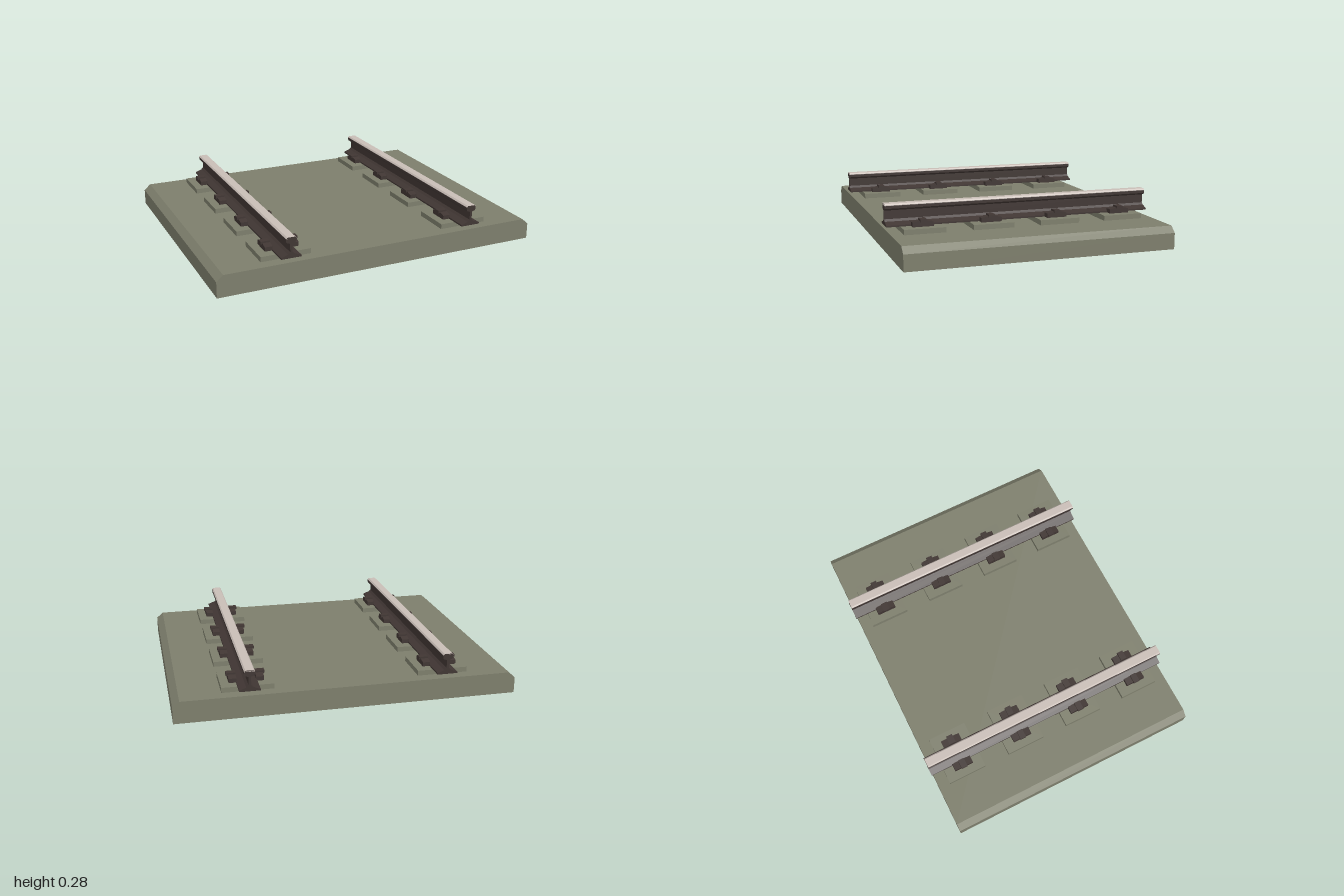
import * as THREE from 'three';

const concrete = new THREE.MeshStandardMaterial({ color: 0x7d7e6c, flatShading: true });
const steel = new THREE.MeshStandardMaterial({ color: 0x403633, flatShading: true });
const polished = new THREE.MeshStandardMaterial({ color: 0xc8bdb6, flatShading: true });

const RAIL_X = 0.573;
const RAIL_LENGTH = 1.6;
const FASTENING_Z = [-0.6, -0.2, 0.2, 0.6];

// Extrudes a mirrored half outline (x >= 0, bottom to top) along z, centred
function mirroredExtrusion(half, depth) {
  const outline = [...half, ...half.slice().reverse().map(([x, y]) => [-x, y])];
  const shape = new THREE.Shape(outline.map(([x, y]) => new THREE.Vector2(x, y)));
  const geometry = new THREE.ExtrudeGeometry(shape, { depth, bevelEnabled: false });
  return geometry.translate(0, 0, -depth / 2);
}

function add(parent, name, geometry, material, x = 0, y = 0, z = 0) {
  const mesh = new THREE.Mesh(geometry, material);
  mesh.name = name;
  mesh.position.set(x, y, z);
  parent.add(mesh);
  return mesh;
}

export function createModel() {
  const track = new THREE.Group();
  track.name = 'trackSection';

  // Slab with chamfered long edges
  add(track, 'slab', mirroredExtrusion([[1, 0], [1, 0.095], [0.96, 0.13]], 1.58), concrete);

  // Rail section: foot, web and head
  const railGeometry = mirroredExtrusion([
    [0.06, 0.16], [0.06, 0.169], [0.02, 0.184], [0.007, 0.196],
    [0.007, 0.245], [0.024, 0.251], [0.03, 0.258], [0.03, 0.274], [0.022, 0.283],
  ], RAIL_LENGTH);
  // Worn running surface on top of the head
  const surfaceGeometry = mirroredExtrusion(
    [[0.03, 0.275], [0.0305, 0.277], [0.023, 0.285]], RAIL_LENGTH);
  const padGeometry = new THREE.BoxGeometry(0.3, 0.03, 0.24);
  // Clip body rises towards its middle, lying across the foot edge
  const clipGeometry = mirroredExtrusion(
    [[0.06, 0.16], [0.06, 0.185], [0.02, 0.194]], 0.045).rotateY(Math.PI / 2);
  const barGeometry = new THREE.BoxGeometry(0.055, 0.016, 0.038);

  for (const side of [1, -1]) {
    const line = new THREE.Group();
    line.name = side > 0 ? 'leftRailLine' : 'rightRailLine';
    line.position.x = side * RAIL_X;
    track.add(line);
    add(line, 'rail', railGeometry, steel);
    add(line, 'runningSurface', surfaceGeometry, polished);

    // Plinths with a clip on each side of the rail
    for (const z of FASTENING_Z) {
      add(line, 'railPlinth', padGeometry, concrete, 0, 0.145, z);
      for (const edge of [1, -1]) {
        add(line, 'clip', clipGeometry, steel, edge * 0.0785, 0, z);
        add(line, 'clipBar', barGeometry, steel, edge * 0.083, 0.196, z);
      }
    }
  }
  return track;
}
